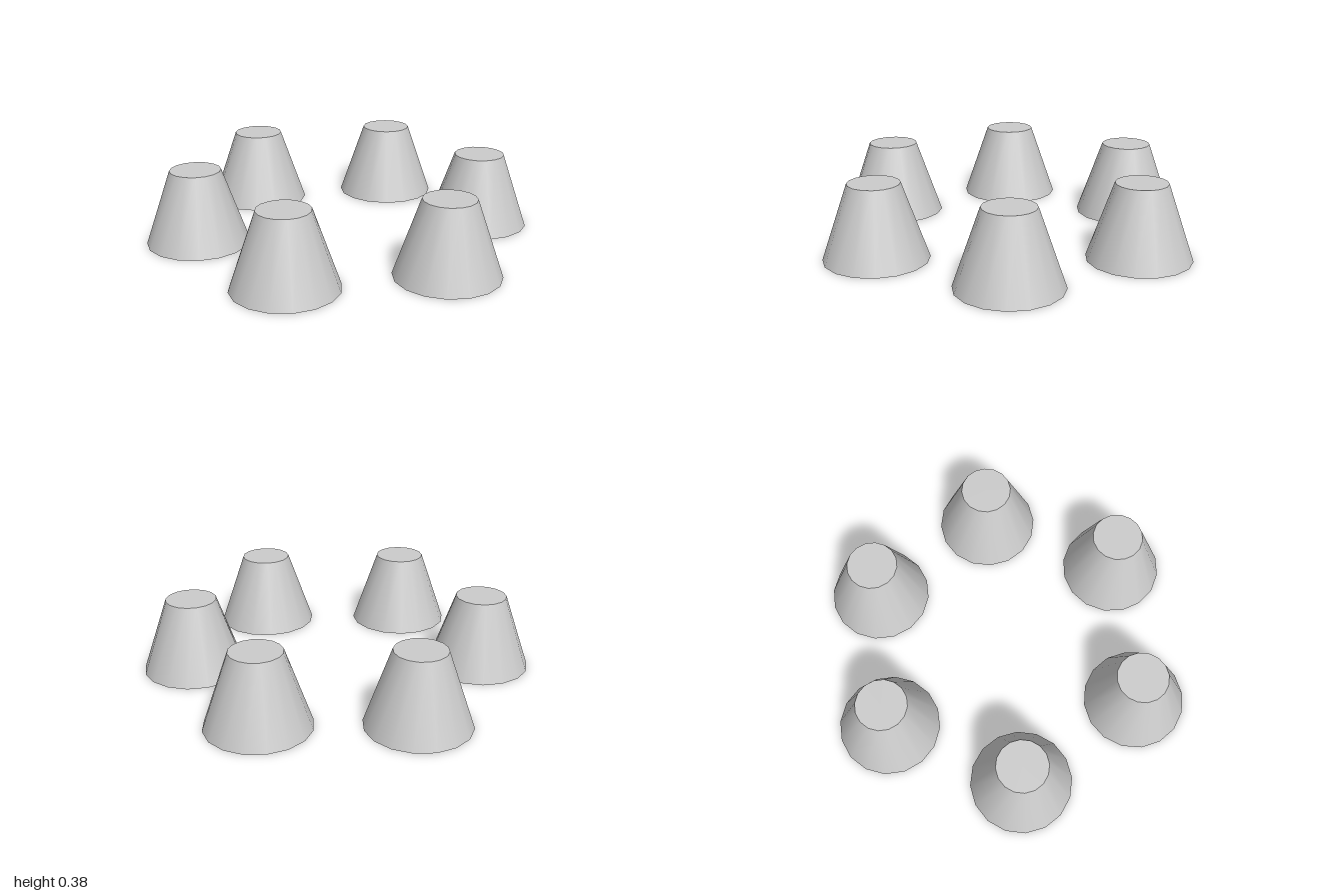
import * as THREE from 'three';

export function createModel() {
  const group = new THREE.Group();
  const material = new THREE.MeshStandardMaterial({ color: 0xcccccc });
  const height = 0.38;

  // One truncated cone, shared by the whole ring
  const geometry = new THREE.CylinderGeometry(0.128, 0.26, height, 16);
  geometry.translate(0, height / 2, 0);

  // Slightly uneven ring: x, z and turn (degrees) of each cone
  const placements = [
    [0.024, -0.741, 3],
    [0.649, -0.348, 2],
    [0.628, 0.372, 11],
    [-0.007, 0.736, -3],
    [-0.656, 0.339, -9],
    [-0.631, -0.394, 11],
  ];
  placements.forEach(([x, z, turn], i) => {
    const cone = new THREE.Mesh(geometry, material);
    cone.name = `cone${i + 1}`;
    cone.position.set(x, 0, z);
    cone.rotation.y = THREE.MathUtils.degToRad(turn);
    group.add(cone);
  });

  return group;
}
